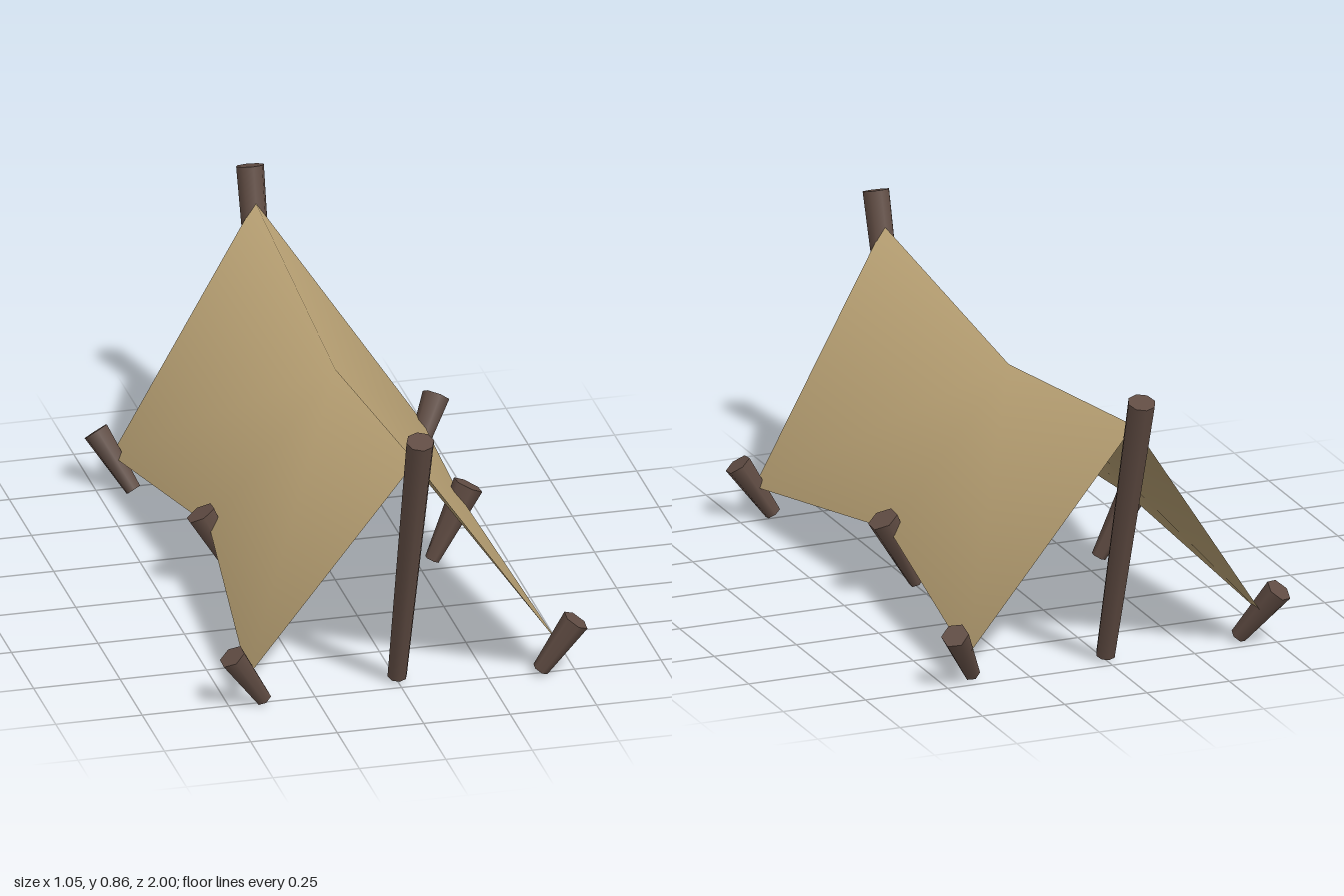
import * as THREE from 'three';

export function createModel() {
  const model = new THREE.Group();
  model.name = 'tent';
  const canvas = new THREE.MeshStandardMaterial({ color: 0xb39c70, side: THREE.DoubleSide });
  canvas.name = 'tan canvas';
  const wood = new THREE.MeshStandardMaterial({ color: 0x604c43 });
  wood.name = 'dark wood';

  // Tapered round stake from its foot to its head
  function stake(name, foot, head, footRadius, headRadius, sides) {
    const a = new THREE.Vector3(...foot), b = new THREE.Vector3(...head);
    const dir = b.clone().sub(a);
    const mesh = new THREE.Mesh(
      new THREE.CylinderGeometry(headRadius, footRadius, dir.length(), sides), wood);
    mesh.name = name;
    mesh.position.copy(a).add(b).multiplyScalar(0.5);
    mesh.quaternion.setFromUnitVectors(new THREE.Vector3(0, 1, 0), dir.normalize());
    model.add(mesh);
  }

  // Canvas: three cross-sections (back, waist, front) of right hem, ridge, left hem
  const sections = [
    { hem: [0.45, 0.095, -0.77], ridge: [0, 0.765, -0.905] },
    { hem: [0.365, 0.21, 0], ridge: [0, 0.65, 0] },
    { hem: [0.45, 0.095, 0.77], ridge: [0, 0.765, 0.905] },
  ];
  const points = [];
  for (const { hem: [x, y, z], ridge } of sections) points.push(-x, y, z, ...ridge, x, y, z);
  const cover = new THREE.BufferGeometry();
  cover.setAttribute('position', new THREE.Float32BufferAttribute(points, 3));
  const faces = [];
  for (let row = 0; row < 2; row++) {
    for (let col = 0; col < 2; col++) {
      const i = row * 3 + col;
      // Diagonals run the same way on both halves, mirrored about the ridge and waist
      if (row === col) faces.push(i, i + 3, i + 4, i, i + 4, i + 1);
      else faces.push(i, i + 3, i + 1, i + 1, i + 3, i + 4);
    }
  }
  cover.setIndex(faces);
  cover.computeVertexNormals();
  const sheet = new THREE.Mesh(cover, canvas);
  sheet.name = 'canvasCover';
  model.add(sheet);

  // Leaning end poles
  for (const s of [1, -1]) {
    stake(s > 0 ? 'frontPole' : 'backPole',
      [0, 0.017, 0.7 * s], [0, 0.852, 0.962 * s], 0.028, 0.04, 8);
  }

  // Ground pegs along both hems
  for (const s of [1, -1]) {
    const side = s > 0 ? 'left' : 'right';
    stake(side + 'FrontPeg', [0.4 * s, 0.015, 0.755], [0.497 * s, 0.165, 0.778], 0.024, 0.04, 6);
    stake(side + 'MiddlePeg', [0.277 * s, 0.037, 0.01], [0.387 * s, 0.246, -0.01], 0.021, 0.045, 6);
    stake(side + 'BackPeg', [0.405 * s, 0.016, -0.697], [0.492 * s, 0.168, -0.783], 0.024, 0.04, 6);
  }
  return model;
}
